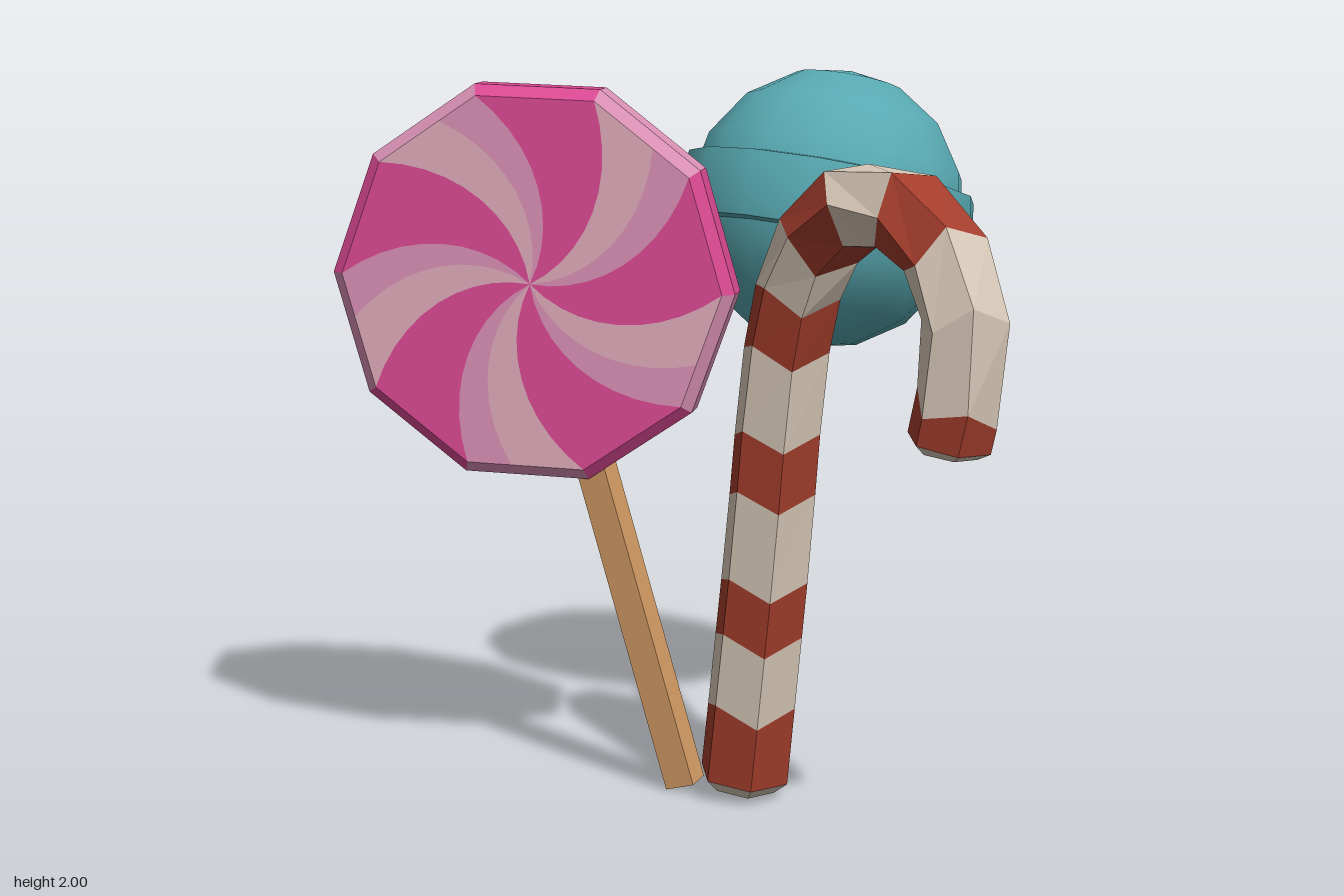
import * as THREE from 'three';

const V = (x, y, z) => new THREE.Vector3(x, y, z);
const UP = V(0, 1, 0);

function material(name, color, extra = {}) {
  return new THREE.MeshStandardMaterial({ name, color, ...extra });
}

// Collects flat quads per colour and turns each set into a mesh
class QuadSet {
  constructor() { this.sets = new Map(); }
  quad(mat, a, b, c, d) {
    if (!this.sets.has(mat)) this.sets.set(mat, []);
    for (const p of [a, b, c, a, c, d]) this.sets.get(mat).push(p.x, p.y, p.z);
  }
  addTo(group, prefix) {
    for (const [mat, pos] of this.sets) {
      const g = new THREE.BufferGeometry();
      g.setAttribute('position', new THREE.Float32BufferAttribute(pos, 3));
      g.computeVertexNormals();
      const mesh = new THREE.Mesh(g, mat);
      mesh.name = prefix + ' ' + mat.name;
      group.add(mesh);
    }
  }
}

// Square wooden stick between two points
function stick(name, from, to, mat) {
  const dir = to.clone().sub(from);
  const mesh = new THREE.Mesh(new THREE.BoxGeometry(0.085, dir.length(), 0.085), mat);
  mesh.name = name;
  mesh.position.copy(from).add(to).multiplyScalar(0.5);
  mesh.quaternion.setFromUnitVectors(UP, dir.normalize())
    .multiply(new THREE.Quaternion().setFromAxisAngle(UP, -0.22));
  return mesh;
}

// Ten-sided swirl disc with bevelled rim
function swirlDisc(hot, pale, mid) {
  const group = new THREE.Group();
  group.name = 'swirlDisc';
  const quads = new QuadSet();
  const corner = (k, r, z) => {
    const a = THREE.MathUtils.degToRad(36 * k - 2);
    return V(r * Math.cos(a), r * Math.sin(a), z);
  };
  const face = 0.535, rim = 0.567, zFace = 0.073, zRim = 0.045, steps = 10;
  const swirl = (k, u, t, z) => corner(k, face, 0).lerp(corner(k + 1, face, 0), u)
    .multiplyScalar(t).applyAxisAngle(V(0, 0, 1), -0.75 * (1 - t)).setZ(z);
  const profile = [[face, zFace], [rim, zRim], [rim, -zRim], [face, -zFace]];

  for (let k = 0; k < 10; k++) {
    // rim sides
    for (let i = 0; i < 3; i++) {
      const [r0, z0] = profile[i], [r1, z1] = profile[i + 1];
      quads.quad(k % 2 ? mid : hot,
        corner(k, r1, z1), corner(k + 1, r1, z1), corner(k + 1, r0, z0), corner(k, r0, z0));
    }
    // curved stripes on both faces
    const bands = k % 2 ? [[0, 0.38, mid], [0.38, 1, pale]] : [[0, 0.5, hot], [0.5, 1, hot]];
    for (const [u0, u1, mat] of bands) {
      for (let s = 0; s < steps; s++) {
        const t0 = s / steps, t1 = (s + 1) / steps;
        for (const z of [zFace, -zFace]) {
          const p = [swirl(k, u0, t0, z), swirl(k, u0, t1, z), swirl(k, u1, t1, z), swirl(k, u1, t0, z)];
          if (z < 0) p.reverse();
          // the innermost ring starts at a single point
          if (s === 0) quads.quad(mat, p[1], p[2], p[3], p[0]);
          else quads.quad(mat, ...p);
        }
      }
    }
  }
  quads.addTo(group, 'disc');
  group.position.set(-0.385, 1.437, 0.082);
  group.rotation.y = -0.018;
  return group;
}

// Round candy with a raised band, turned about its stick axis
function roundCandy(center, axis, mat) {
  const group = new THREE.Group();
  group.name = 'roundCandy';
  const R = 0.402;
  const arc = [];
  for (let i = 0; i <= 8; i++) {
    const a = (i / 8 - 0.5) * Math.PI;
    arc.push(new THREE.Vector2(i % 8 ? R * Math.cos(a) : 0, R * Math.sin(a)));
  }
  const ball = new THREE.Mesh(new THREE.LatheGeometry(arc, 14), mat);
  ball.name = 'candyBall';

  // separate profiles keep the band's lips sharp
  const bandPoints = [[0.37, -0.1], [0.418, -0.092], [0.434, 0], [0.418, 0.092], [0.37, 0.1]]
    .map(p => new THREE.Vector2(...p));
  [['lowerLip', 0, 2], ['bandSide', 1, 4], ['upperLip', 3, 5]].forEach(([name, a, b]) => {
    const m = new THREE.Mesh(new THREE.LatheGeometry(bandPoints.slice(a, b), 14), mat);
    m.name = name;
    group.add(m);
  });
  group.add(ball);
  group.position.copy(center);
  group.quaternion.setFromUnitVectors(UP, axis.clone().normalize());
  return group;
}

// Six-sided hooked cane with zigzag stripes
function cane(cream, red) {
  const group = new THREE.Group();
  group.name = 'hookedCane';
  const curve = new THREE.CatmullRomCurve3([
    V(0.205, 0.025, 0.115), V(0.275, 0.69, 0.175), V(0.345, 1.35, 0.235), V(0.42, 1.58, 0.31),
    V(0.575, 1.712, 0.45), V(0.755, 1.64, 0.61), V(0.845, 1.41, 0.695), V(0.8, 1.1, 0.67)]);
  curve.arcLengthDivisions = 600;
  const total = curve.getLength();
  const side = V(0.69, 0, -0.72).normalize();
  // position along the cane, colour of the section that follows
  const rings = [[0, cream], [0.035, red], [0.24, cream], [0.45, red], [0.61, cream], [0.86, red],
    [1.03, cream], [1.27, red], [1.44, cream], [1.61, red], [1.79, cream], [1.98, red],
    [2.16, cream], [2.34, cream], [total - 0.12, red], [total - 0.025, cream], [total, cream]];
  const last = rings.length - 1;
  const points = rings.map(([s], i) => {
    const u = Math.min(s / total, 1);
    const c = curve.getPointAt(u), t = curve.getTangentAt(u);
    const n = side.clone().addScaledVector(t, -side.dot(t)).normalize();
    const b = t.clone().cross(n);
    const r = (0.13 - 0.018 * u) * (i === 0 || i === last ? 0.72 : 1);
    const zig = i > 1 && i < last - 1 ? 0.022 : 0;
    return Array.from({ length: 6 }, (_, j) => {
      const a = j * Math.PI / 3;
      return c.clone().addScaledVector(n, r * Math.cos(a)).addScaledVector(b, r * Math.sin(a))
        .addScaledVector(t, j % 2 ? zig : -zig);
    });
  });
  const quads = new QuadSet();
  for (let i = 0; i < last; i++) {
    for (let j = 0; j < 6; j++) {
      const k = (j + 1) % 6;
      quads.quad(rings[i][1], points[i][j], points[i][k], points[i + 1][k], points[i + 1][j]);
    }
  }
  // end caps
  const p = points[0], q = points[last];
  quads.quad(cream, p[3], p[2], p[1], p[0]);
  quads.quad(cream, p[0], p[5], p[4], p[3]);
  quads.quad(cream, q[0], q[1], q[2], q[3]);
  quads.quad(cream, q[3], q[4], q[5], q[0]);
  quads.addTo(group, 'cane');
  return group;
}

export function createModel() {
  const hot = material('hot pink', 0xdc4a94);
  const pale = material('pale pink', 0xdeabba);
  const mid = material('mid pink', 0xdb91b5);
  const teal = material('teal', 0x58a9b2);
  const wood = material('wood', 0xd29a64);
  const cream = material('cream', 0xd8c9b8);
  const red = material('brick red', 0xa33d2c);

  const model = new THREE.Group();
  model.name = 'candyBunch';

  model.add(swirlDisc(hot, pale, mid));
  model.add(stick('discStick', V(0.035, 0.015, 0.085), V(-0.24, 1.0, 0.08), wood));

  const foot = V(0.13, 0.013, -0.025), ball = V(0.37, 1.603, -0.385);
  model.add(stick('ballStick', foot, foot.clone().lerp(ball, 0.85), wood));
  model.add(roundCandy(ball, ball.clone().sub(foot), teal));

  model.add(cane(cream, red));
  return model;
}
